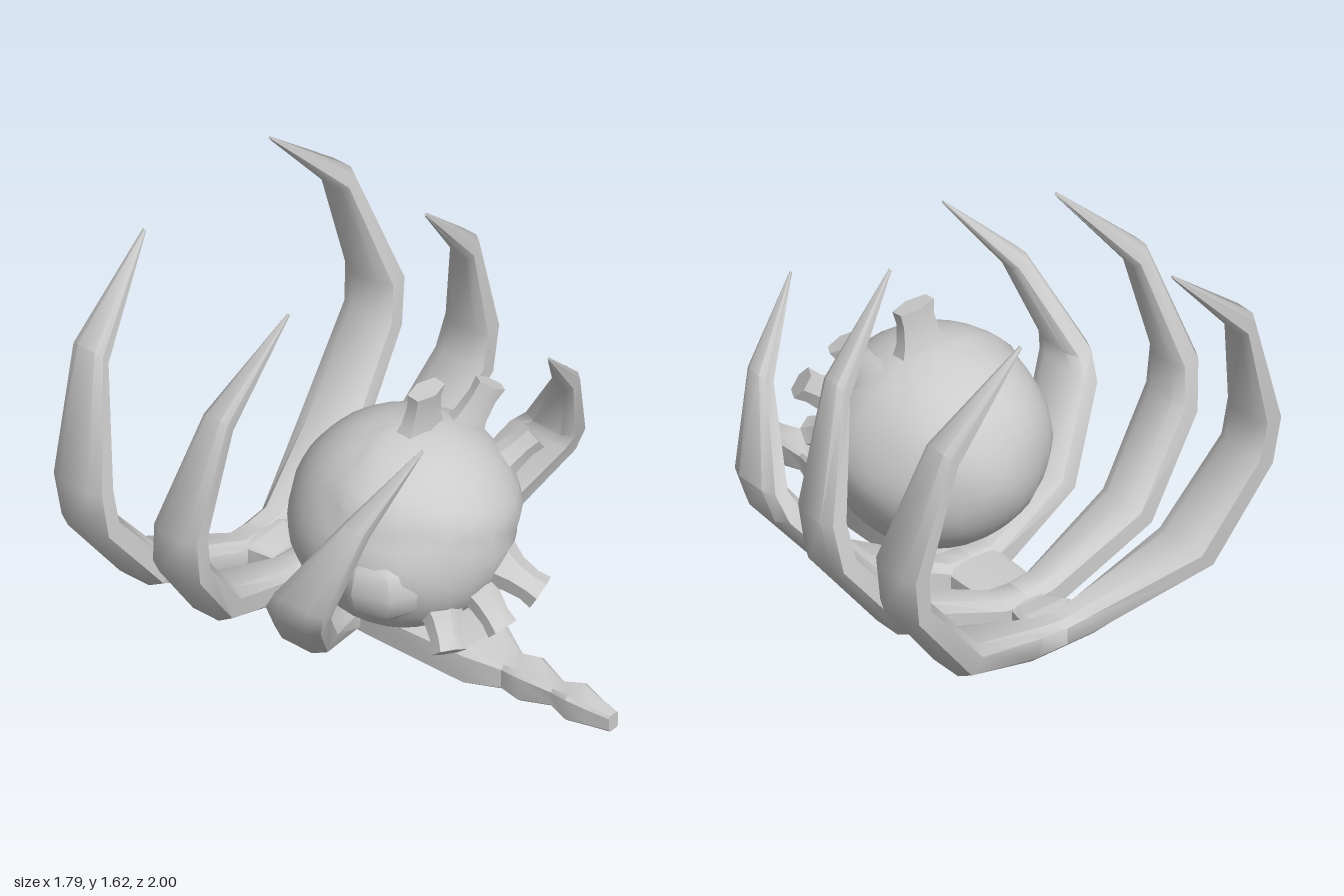
import * as THREE from 'three';
import { toCreasedNormals } from 'three/addons/utils/BufferGeometryUtils.js';

const V = (x, y, z) => new THREE.Vector3(x, y, z);
const material = new THREE.MeshStandardMaterial({ color: 0xcccccc });

// Skin a row of sections {c, u, v}; u x v points along the row.
function loft(sections, sides, power, crease) {
  const pos = [], index = [], pw = t => Math.sign(t) * Math.abs(t) ** power;
  for (const { c, u, v } of sections) {
    for (let j = 0; j < sides; j++) {
      const a = (j + 0.5) / sides * Math.PI * 2;
      const p = c.clone().addScaledVector(u, pw(Math.cos(a))).addScaledVector(v, pw(Math.sin(a)));
      pos.push(p.x, p.y, p.z);
    }
  }
  const last = (sections.length - 1) * sides;
  for (let i = 0; i < last; i += sides) {
    for (let j = 0; j < sides; j++) {
      const k = (j + 1) % sides;
      index.push(i + j, i + k, i + sides + k, i + j, i + sides + k, i + sides + j);
    }
  }
  for (let j = 1; j < sides - 1; j++) index.push(0, j + 1, j, last, last + j, last + j + 1);
  const g = new THREE.BufferGeometry();
  g.setAttribute('position', new THREE.Float32BufferAttribute(pos, 3));
  g.setIndex(index);
  return toCreasedNormals(g, crease);
}

function add(parent, name, geometry) {
  const mesh = new THREE.Mesh(geometry, material);
  mesh.name = name;
  parent.add(mesh);
  return mesh;
}

// Rib sections: outer x, y, inner x, y, then front and back z.
function rib(rows, side) {
  return loft(rows.map(([xo, yo, xi, yi, zf, zb]) => ({
    c: V(side * (xo + xi) / 2, (yo + yi) / 2, (zf + zb) / 2),
    u: V(side * (xo - xi) / 2, (yo - yi) / 2, 0),
    v: V(0, 0, -side * (zf - zb) / 2),
  })), 8, 0.65, 0.75);
}

const ribs = {
  rear: [
    [0, 0.01, 0, 0.14, -0.66, -0.79], [0.15, 0.01, 0.1, 0.15, -0.66, -0.79],
    [0.6, 0.2, 0.5, 0.31, -0.68, -0.94], [0.87, 0.56, 0.76, 0.63, -0.72, -0.96],
    [0.9, 0.78, 0.78, 0.77, -0.73, -0.975], [0.74, 1.3, 0.68, 1.22, -0.85, -1],
    [0.365, 1.62, 0.36, 1.61, -0.95, -0.965]],
  middle: [
    [0, 0.01, 0, 0.14, -0.41, -0.57], [0.15, 0.01, 0.1, 0.15, -0.41, -0.57],
    [0.6, 0.2, 0.5, 0.31, -0.35, -0.58], [0.87, 0.56, 0.76, 0.63, -0.28, -0.52],
    [0.9, 0.78, 0.78, 0.77, -0.275, -0.49], [0.74, 1.28, 0.68, 1.2, -0.25, -0.37],
    [0.4, 1.6, 0.39, 1.59, -0.23, -0.24]],
  front: [
    [0, 0.01, 0, 0.14, -0.11, -0.26], [0.15, 0.01, 0.1, 0.15, -0.11, -0.26],
    [0.53, 0.2, 0.42, 0.29, 0.05, -0.22], [0.76, 0.5, 0.65, 0.57, 0.21, -0.07],
    [0.78, 0.62, 0.67, 0.61, 0.24, -0.01], [0.64, 0.98, 0.57, 0.93, 0.32, 0.21],
    [0.365, 1.25, 0.36, 1.24, 0.39, 0.38]],
};

// Back to front: z, half width, bottom y, top y.
const spineRows = [
  [-0.76, 0.11, 0.02, 0.13], [-0.66, 0.12, 0.01, 0.145], [-0.57, 0.085, 0.02, 0.12],
  [-0.4, 0.12, 0.005, 0.13], [-0.1, 0.13, 0, 0.14], [0.38, 0.13, 0, 0.168],
  [0.51, 0.065, 0.01, 0.125], [0.6, 0.08, 0.005, 0.143], [0.73, 0.042, 0.03, 0.11],
  [0.82, 0.066, 0.015, 0.137], [0.91, 0.045, 0.025, 0.118], [1, 0.028, 0.035, 0.108]];

function heartBody() {
  const g = new THREE.SphereGeometry(1, 28, 20);
  const p = g.attributes.position;
  for (let i = 0; i < p.count; i++) {
    const q = V().fromBufferAttribute(p, i);
    // Upper layer overlaps the lower one along a slanting front seam.
    const raised = q.z > -0.1 && q.y > 0.25 - 0.4 * q.x;
    const taper = q.y < 0 ? 1 - 0.07 * q.y * q.y : 1;
    const k = raised ? 1.035 : 0.99 + 0.015 * Math.sin(q.x * 7 + 1) * Math.cos(q.y * 6) * (1 - q.y * q.y);
    p.setXYZ(i, -0.015 + 0.43 * q.x * k * taper, 0.55 + 0.42 * q.y * (raised ? 1.01 : 1), 0.435 * q.z * k * taper);
  }
  return toCreasedNormals(g, 0.6);
}

// A cut vessel from base to tip: half width along 'wide', half depth across it.
function vessel(base, tip, wide, width, depth) {
  const d = tip.clone().sub(base).normalize();
  const u = wide.clone().addScaledVector(d, -wide.dot(d)).normalize();
  const v = d.clone().cross(u);
  const rows = [[0, 1.6], [0.4, 1.05], [0.75, 0.9], [1, 1]];
  return loft(rows.map(([t, k]) => ({
    c: base.clone().lerp(tip, t),
    u: u.clone().multiplyScalar(width * k),
    v: v.clone().multiplyScalar(depth * k),
  })), 6, 0.85, 0.7);
}

export function createModel() {
  const model = new THREE.Group();
  model.name = 'ribCageWithHeart';

  add(model, 'spine', loft(spineRows.map(([z, w, y0, y1]) => ({
    c: V(0, (y0 + y1) / 2, z), u: V(w, 0, 0), v: V(0, (y1 - y0) / 2, 0),
  })), 8, 0.35, 0.6));

  for (const [name, rows] of Object.entries(ribs)) {
    add(model, name + 'LeftRib', rib(rows, 1));
    add(model, name + 'RightRib', rib(rows, -1));
  }

  const heart = new THREE.Group();
  heart.name = 'heart';
  model.add(heart);
  add(heart, 'heartBody', heartBody());

  // Swelling on the right flank
  const lobe = add(heart, 'sideLobe', toCreasedNormals(new THREE.SphereGeometry(0.18, 8, 6), 0.6));
  lobe.position.set(-0.29, 0.5, 0.12);
  lobe.scale.set(0.95, 1, 1.1);

  // Cut vessels on the crown and the lower front
  const X = V(1, 0, 0);
  const vessels = [
    [V(0.03, 0.9, 0.03), V(0.045, 1.13, 0.06), X, 0.09, 0.045],
    [V(0.2, 0.83, 0.08), V(0.32, 1.04, 0.14), V(1, -0.5, 0.6), 0.065, 0.04],
    [V(0.24, 0.7, 0.2), V(0.4, 0.82, 0.28), V(0.5, -0.7, 0.3), 0.065, 0.05],
    [V(-0.15, 0.38, 0.28), V(-0.23, 0.235, 0.4), X, 0.07, 0.05],
    [V(-0.02, 0.42, 0.34), V(-0.03, 0.27, 0.49), X, 0.066, 0.045],
    [V(0.08, 0.46, 0.36), V(0.14, 0.36, 0.53), X, 0.07, 0.06],
  ];
  vessels.forEach((v, i) => add(heart, (i < 3 ? 'upperVessel' : 'lowerVessel') + (i % 3 + 1), vessel(...v)));

  return model;
}
